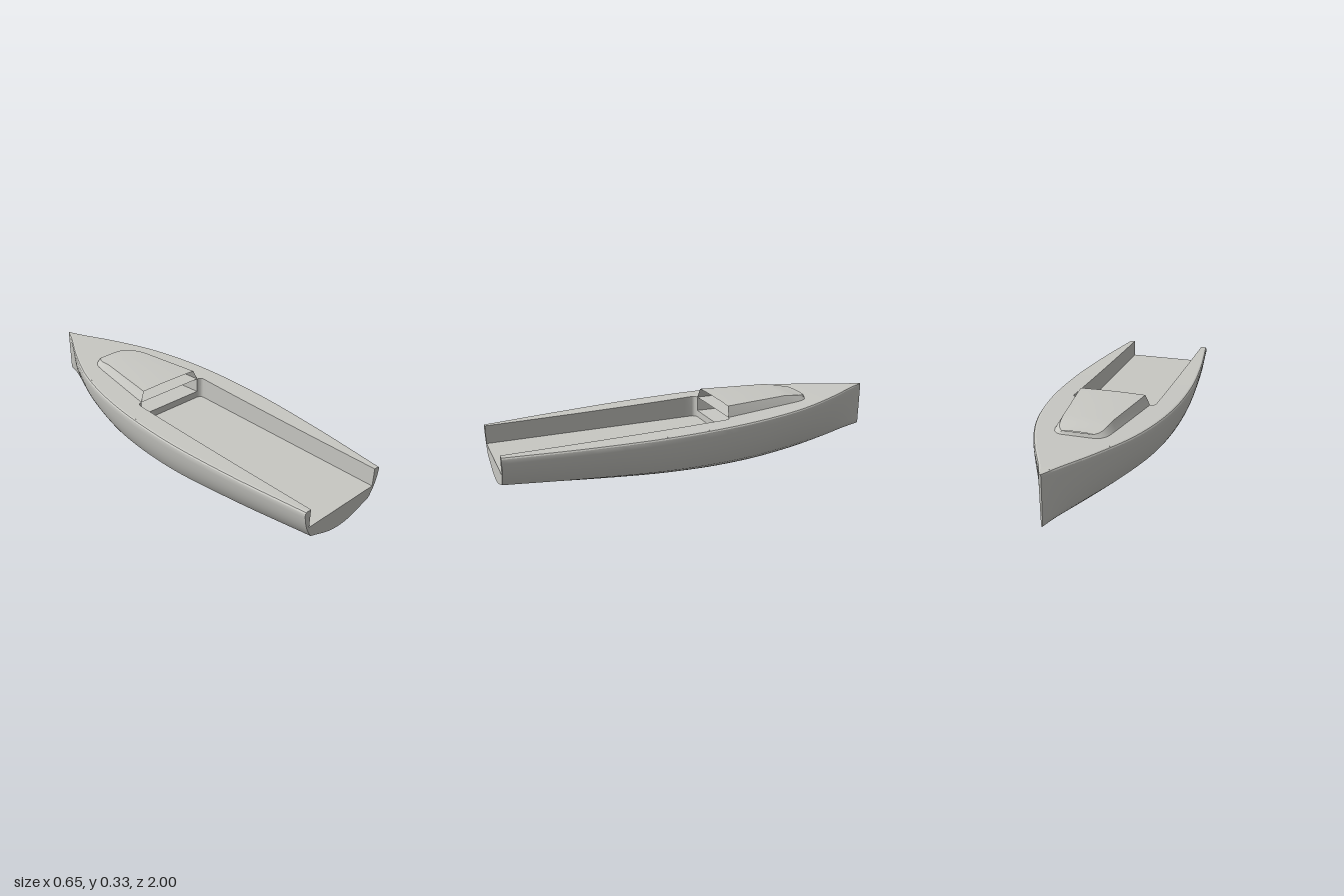
import * as THREE from 'three';
import { toCreasedNormals } from 'three/addons/utils/BufferGeometryUtils.js';

const V = (x, y, z) => new THREE.Vector3(x, y, z);
const paint = new THREE.MeshStandardMaterial({ color: 0xc8c8c3, side: THREE.DoubleSide });
paint.name = 'pale grey paint';

// Hull stations from bow to transom: keel y, half breadth, deck y, chine x, chine y
const stationZ = [-1, -0.9, -0.75, -0.5, -0.2, 0.2, 0.6, 1];
const stations = [
  0.075, 0.005, 0.305, 0.003, 0.085,
  0.060, 0.055, 0.303, 0.030, 0.083,
  0.038, 0.135, 0.299, 0.085, 0.081,
  0.013, 0.240, 0.291, 0.170, 0.079,
  0.000, 0.305, 0.282, 0.245, 0.081,
  0.006, 0.325, 0.271, 0.276, 0.088,
  0.030, 0.298, 0.264, 0.246, 0.100,
  0.067, 0.247, 0.260, 0.195, 0.115,
];
const lines = new THREE.CubicInterpolant(stationZ, stations, 5, new Float32Array(5));
function station(z) {
  const [keel, beam, deck, cx, cy] = lines.evaluate(z);
  return { keel, beam, deck, cx, cy, edge: beam - Math.min(0.014, beam * 0.4) };
}
const deckY = (z) => station(z).deck;

// Half section from keel, round the chine, up to the rounded deck edge
function halfSection(z) {
  const s = station(z);
  const P = (x, y) => new THREE.Vector2(x, y);
  const rise = s.cy - s.keel;
  const lift = 0.38 + 0.32 * Math.max(0, z);
  const bottom = new THREE.CubicBezierCurve(P(0, s.keel), P(0.45 * s.cx, s.keel + 0.02 * rise),
    P(0.72 * s.cx, s.keel + lift * rise), P(s.cx, s.cy)).getPoints(10);
  const top = s.deck - 0.014;
  const side = new THREE.QuadraticBezierCurve(P(s.cx, s.cy),
    P(s.cx + 0.85 * (s.beam - s.cx), s.cy + 0.42 * (top - s.cy)), P(s.beam, top)).getPoints(10);
  const e = s.beam - s.edge;
  return [...bottom, ...side.slice(1), P(s.beam - 0.08 * e, s.deck - 0.008),
    P(s.beam - 0.4 * e, s.deck - 0.002), P(s.edge, s.deck)];
}

// Surface through rows of points
function grid(rows, crease = 0.5) {
  const n = rows[0].length, index = [];
  for (let i = 0; i < rows.length - 1; i++) {
    for (let j = 0; j < n - 1; j++) {
      const a = i * n + j, b = a + n;
      index.push(a, b, a + 1, b, b + 1, a + 1);
    }
  }
  const g = new THREE.BufferGeometry().setFromPoints(rows.flat());
  g.setIndex(index);
  return toCreasedNormals(g, crease);
}
const range = (a, b, n) => Array.from({ length: n + 1 }, (_, i) => a + (b - a) * i / n);
const mirrorPath = (half) => [...half.map(([x, z]) => [-x, z]), ...half.slice().reverse()];

export function createModel() {
  const boat = new THREE.Group();
  boat.name = 'boat';
  const add = (name, geometry) => {
    const m = new THREE.Mesh(geometry, paint);
    m.name = name;
    boat.add(m);
    return m;
  };

  // Hull shell
  add('hull', grid(range(-1, 1, 64).map((z) => {
    const h = halfSection(z);
    return [...h.slice().reverse().map((p) => V(p.x, p.y, z)), ...h.slice(1).map((p) => V(-p.x, p.y, z))];
  }), 0.42));

  // Flat stem face
  const bow = halfSection(-1);
  add('stem', grid(bow.map((p) => [V(p.x, p.y, -1), V(-p.x, p.y, -1)]).reverse()));

  // Transom, cut away for the open cockpit
  const cw = 0.213, floorY = 0.17, sillY = 0.205, entryZ = -0.1, r = 0.025;
  const stern = halfSection(1);
  const cut = [[cw, 0.26], [cw, floorY], [-cw, floorY], [-cw, 0.26]].map(([x, y]) => new THREE.Vector2(x, y));
  const left = stern.slice(1).reverse().map((p) => new THREE.Vector2(-p.x, p.y));
  const transom = add('transom', new THREE.ShapeGeometry(new THREE.Shape([...stern, ...cut, ...left])));
  transom.position.z = 1;

  // Foredeck, running on under the cabin
  add('foredeck', grid(range(-1, entryZ, 30).map((z) => {
    const s = station(z);
    return range(-s.edge, s.edge, 4).map((x) => V(x, s.deck, z));
  })));

  // Side decks beside the cockpit, with rounded forward corners
  const inner = (z) => {
    const d = Math.max(0, r - (z - entryZ));
    return cw - r + Math.sqrt(r * r - d * d);
  };
  const sideZ = [...range(entryZ, entryZ + r, 6), ...range(entryZ + r, 1, 30).slice(1)];
  for (const side of [-1, 1]) {
    add(side > 0 ? 'leftSideDeck' : 'rightSideDeck', grid(sideZ.map((z) => {
      const s = station(z);
      const row = [V(side * inner(z), s.deck, z), V(side * s.edge, s.deck, z)];
      return side > 0 ? row : row.reverse();
    })));
  }

  // Cockpit floor, walls and the sill below the cabin entrance
  add('cockpitFloor', grid(sideZ.map((z) => [V(-inner(z), floorY, z), V(inner(z), floorY, z)])));
  const wall = sideZ.slice().reverse().map((z) => [inner(z), z]);
  const wallRow = ([x, z]) => [V(x, floorY, z), V(x, deckY(z), z)];
  const wallPath = mirrorPath(wall);
  add('rightCockpitWall', grid(wallPath.slice(0, wall.length).map(wallRow)));
  add('leftCockpitWall', grid(wallPath.slice(wall.length).map(wallRow)));
  const sx = cw - r;
  add('entranceSill', grid([-sx, sx].map((x) => [V(x, floorY, entryZ), V(x, sillY, entryZ)])));

  // Locker under the foredeck, following the cabin outline
  const base = [[0.188, -0.1], [0.137, -0.48], [0.129, -0.53], [0.12, -0.56], [0.103, -0.583], [0.08, -0.593]];
  const lockerY = (z) => sillY + 0.015 * (entryZ - z) / 0.49;
  add('lockerWall', grid(mirrorPath(base).map(([x, z]) => [V(x, lockerY(z), z), V(x, deckY(z) - 0.001, z)])));
  add('lockerFloor', grid(base.slice().reverse().map(([x, z]) => [V(-x, lockerY(z), z), V(x, lockerY(z), z)])));

  // Cabin: sloping sides and a roof that curves down at the front, open aft
  const roof = [[0.166, -0.106], [0.117, -0.46], [0.11, -0.51], [0.102, -0.545], [0.09, -0.57], [0.075, -0.588]];
  const roofY = (z) => 0.33 - 0.02 * THREE.MathUtils.smoothstep(-z, 0.44, 0.6);
  const baseRing = mirrorPath(base);
  add('cabinSides', grid(mirrorPath(roof).map(([x, z], i) => {
    const [bx, bz] = baseRing[i];
    return [V(x, roofY(z), z), V(bx, deckY(bz), bz)];
  }), 0.6));
  add('cabinRoof', grid(roof.slice().reverse().map(([w, z]) =>
    range(-1, 1, 8).map((t) => V(t * w, roofY(z) + 0.003 * (1 - t * t), z)))));

  return boat;
}
